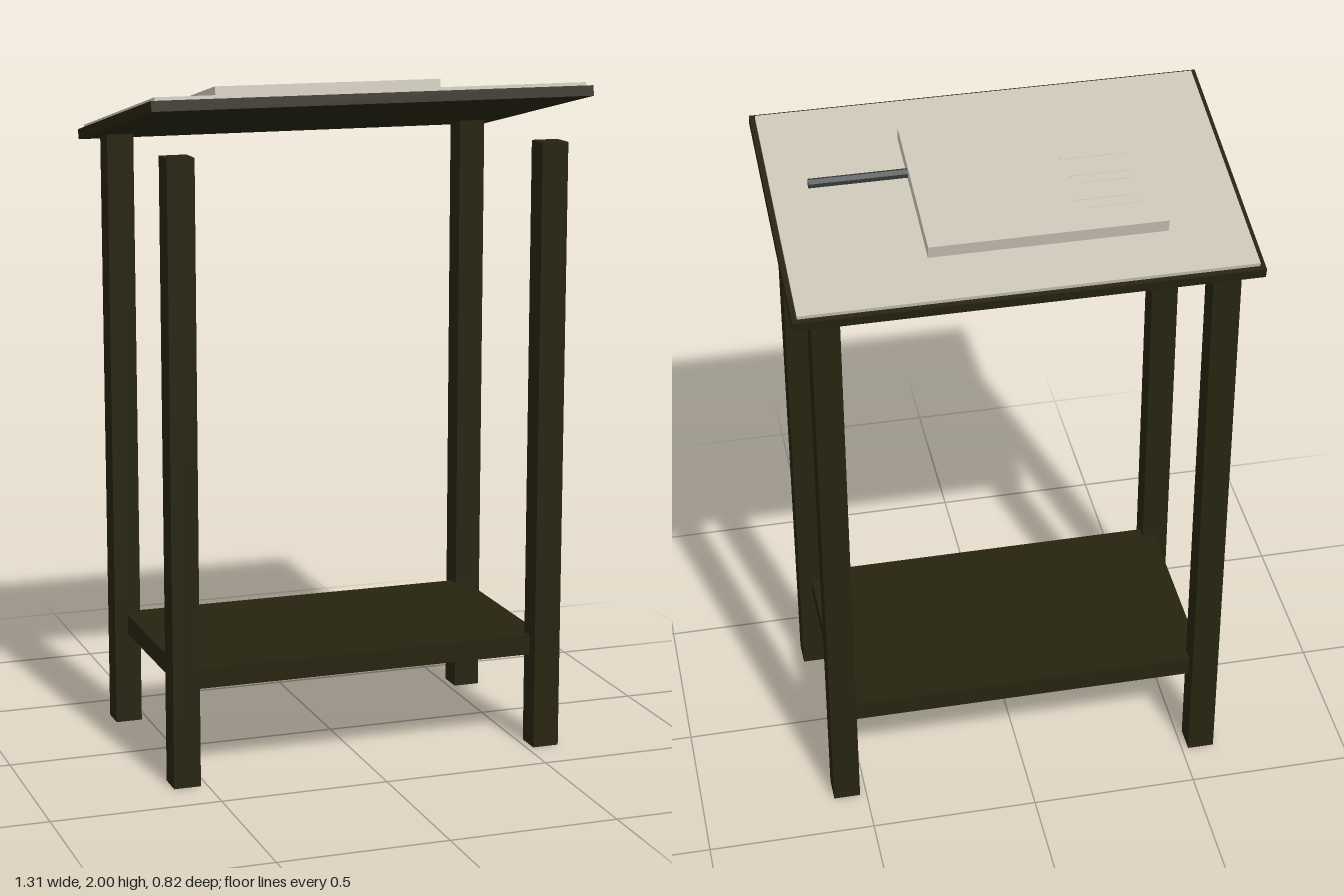
import * as THREE from 'three';

export function createModel() {
  const model = new THREE.Group();
  model.name = 'slantedLectern';

  const material = (name, color) => {
    const m = new THREE.MeshStandardMaterial({ color });
    m.name = name;
    return m;
  };
  const wood = material('darkWood', 0x26230f);
  const paper = material('paper', 0xcac4b6);
  const ink = material('penGrey', 0x3a3e3d);

  const box = (parent, name, mat, size, pos) => {
    const mesh = new THREE.Mesh(new THREE.BoxGeometry(...size), mat);
    mesh.position.set(...pos);
    mesh.name = name;
    parent.add(mesh);
    return mesh;
  };

  // Four square legs
  for (const [sx, side] of [[1, 'Left'], [-1, 'Right']])
    for (const [sz, end] of [[1, 'front'], [-1, 'back']])
      box(model, `${end}${side}Leg`, wood, [0.08, 1.82, 0.08], [sx * 0.56, 0.91, sz * 0.32]);

  // Lower shelf, its corners set into the legs
  box(model, 'shelf', wood, [1.12, 0.06, 0.64], [0, 0.31, 0]);

  // Tilted top, higher at the front, carrying the sheet, pad and pen
  const top = new THREE.Group();
  top.name = 'tiltedTop';
  top.position.set(0, 1.888, 0);
  top.rotation.x = -0.2;
  model.add(top);

  box(top, 'board', wood, [1.31, 0.03, 0.83], [0, 0, 0]);
  box(top, 'sheet', paper, [1.28, 0.012, 0.8], [0, 0.02, 0]);
  box(top, 'pad', paper, [0.675, 0.039, 0.48], [-0.082, 0.0455, 0.003]);

  // Faint ruled strips on the pad: right end x and z of each
  const strips = [[-0.215, -0.15], [-0.175, -0.117], [-0.215, -0.05], [-0.18, -0.02], [-0.165, 0.05]];
  for (const [end, z] of strips)
    box(top, 'padStrip', paper, [end + 0.36, 0.001, 0.006], [(end - 0.36) / 2, 0.0653, z]);

  // Six-sided pen lying beside the pad
  const penShape = new THREE.CylinderGeometry(0.014, 0.014, 0.3, 6).rotateY(Math.PI / 6).rotateZ(Math.PI / 2);
  const pen = new THREE.Mesh(penShape.toNonIndexed(), ink);
  pen.geometry.computeVertexNormals();
  pen.position.set(0.385, 0.039, 0.088);
  pen.name = 'pen';
  top.add(pen);

  return model;
}
